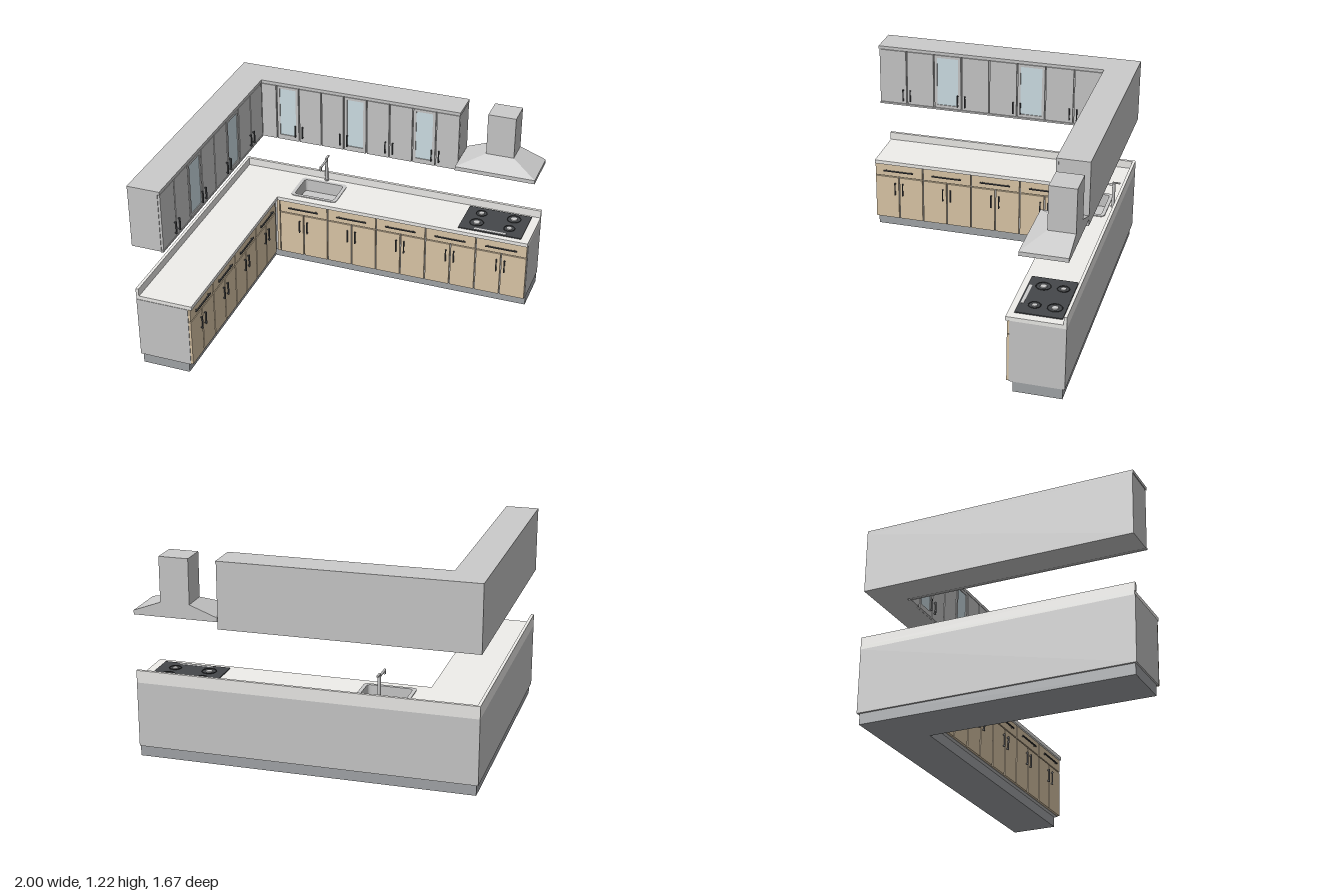
import * as THREE from 'three';

const mat = (color) => new THREE.MeshStandardMaterial({ color });
const grey = mat(0xcccccc), wood = mat(0xe0cbab), stone = mat(0xf0efec), plinthMat = mat(0xa5a8ab);
const dark = mat(0x45474a), glass = mat(0xd2e4ea), steel = mat(0xc4c6c8), black = mat(0x2c2e30);

function add(parent, name, geometry, material) {
  const m = new THREE.Mesh(geometry, material);
  m.name = name;
  parent.add(m);
  return m;
}

// Box given by its two opposite corners
function box(parent, name, material, x0, x1, y0, y1, z0, z1) {
  const m = add(parent, name, new THREE.BoxGeometry(x1 - x0, y1 - y0, z1 - z0), material);
  m.position.set((x0 + x1) / 2, (y0 + y1) / 2, (z0 + z1) / 2);
  return m;
}

// Upright slab from a plan outline (plan y is -z)
function slab(parent, name, material, shape, y0, y1) {
  const g = new THREE.ExtrudeGeometry(shape, { depth: y1 - y0, bevelEnabled: false, curveSegments: 6 });
  g.rotateX(-Math.PI / 2);
  g.translate(0, y0, 0);
  return add(parent, name, g, material);
}

// L-shaped plan: back run plus left run
function planL(xLeft, xInner, xRight, zBack, zInner, zFront) {
  return new THREE.Shape([
    [xLeft, zFront], [xInner, zFront], [xInner, zInner], [xRight, zInner], [xRight, zBack], [xLeft, zBack],
  ].map(([x, z]) => new THREE.Vector2(x, -z)));
}

function roundedPlan(Kind, x0, x1, z0, z1, r) {
  const s = new Kind(), a = -z1, b = -z0;
  s.moveTo(x0 + r, a).lineTo(x1 - r, a).quadraticCurveTo(x1, a, x1, a + r);
  s.lineTo(x1, b - r).quadraticCurveTo(x1, b, x1 - r, b);
  s.lineTo(x0 + r, b).quadraticCurveTo(x0, b, x0, b - r);
  s.lineTo(x0, a + r).quadraticCurveTo(x0, a, x0 + r, a);
  return s;
}

// Bar handle on two posts, standing on a door face at z
function handle(parent, x, y, z, length, upright, reach) {
  const g = new THREE.Group();
  g.name = 'handle';
  const h = length / 2, t = 0.0035;
  box(g, 'handleBar', dark, -h, h, -t, t, reach - 2 * t, reach);
  for (const s of [-1, 1]) box(g, 'handlePost', dark, s * h * 0.85 - t, s * h * 0.85 + t, -t, t, 0, reach - t);
  if (upright) g.rotation.z = Math.PI / 2;
  g.position.set(x, y, z);
  parent.add(g);
}

const GAP = 0.004;

// Base units: one drawer above a pair of doors
function baseFronts(parent, start, width, count, z) {
  for (let i = 0; i < count; i++) {
    const x0 = start + i * width, x1 = x0 + width, mid = (x0 + x1) / 2;
    box(parent, 'drawerFront', wood, x0 + GAP, x1 - GAP, 0.371, 0.453, z - 0.014, z);
    handle(parent, mid, 0.41, z, 0.2, false, 0.014);
    for (const s of [-1, 1]) {
      const a = s < 0 ? x0 : mid;
      box(parent, 'baseDoor', wood, a + GAP, a + width / 2 - GAP, 0.068, 0.364, z - 0.014, z);
      handle(parent, mid + s * 0.026, 0.283, z, 0.086, true, 0.014);
    }
  }
}

// Wall units: paired doors, some of them glazed
function wallFronts(parent, start, width, count, z, y0, glazed) {
  for (let i = 0; i < count; i++) {
    const x0 = start + i * width + GAP, x1 = start + (i + 1) * width - GAP, y1 = 1.197;
    if (glazed.includes(i)) {
      const s = new THREE.Shape([[x0, y0], [x1, y0], [x1, y1], [x0, y1]].map((p) => new THREE.Vector2(...p)));
      const gx0 = x0 + 0.018, gx1 = x1 - 0.018;
      s.holes.push(new THREE.Path([[gx0, 0.857], [gx0, 1.18], [gx1, 1.18], [gx1, 0.857]].map((p) => new THREE.Vector2(...p))));
      const g = new THREE.ExtrudeGeometry(s, { depth: 0.014, bevelEnabled: false });
      add(parent, 'glazedDoorFrame', g, grey).position.z = z - 0.014;
      box(parent, 'doorGlass', glass, gx0, gx1, 0.857, 1.18, z - 0.012, z - 0.005);
    } else box(parent, 'wallDoor', grey, x0, x1, y0, y1, z - 0.014, z);
    const side = i % 2 ? start + i * width + 0.024 : start + (i + 1) * width - 0.024;
    handle(parent, side, 0.897, z, 0.08, true, 0.014);
  }
}

function createModel() {
  const root = new THREE.Group();
  root.name = 'cornerKitchen';
  const group = (name) => {
    const g = new THREE.Group();
    g.name = name;
    root.add(g);
    return g;
  };

  // Base cabinets, plinth and worktop, with a cut-out for the sink
  const base = group('baseCabinets');
  const cut = () => roundedPlan(THREE.Path, -0.565, -0.29, -0.755, -0.555, 0.025);
  slab(base, 'plinth', plinthMat, planL(-0.988, -0.69, 0.998, -0.818, -0.535, 0.82), 0, 0.066);
  const carcass = planL(-1, -0.674, 1, -0.83, -0.511, 0.83);
  carcass.holes.push(cut());
  slab(base, 'baseCarcass', grey, carcass, 0.065, 0.456);
  const top = planL(-1, -0.65, 1, -0.83, -0.488, 0.827);
  top.holes.push(cut());
  slab(base, 'worktop', stone, top, 0.456, 0.48);
  box(base, 'backUpstand', stone, -1, 1, 0.48, 0.53, -0.83, -0.812);
  box(base, 'leftUpstand', stone, -1, -0.982, 0.48, 0.53, -0.812, 0.83);
  box(base, 'cornerFiller', wood, -0.66, -0.642, 0.066, 0.455, -0.511, -0.5);

  // Fronts of the back run, and of the left run turned to face +x
  const backBase = group('backBaseFronts');
  baseFronts(backBase, -0.64, 0.328, 5, -0.497);
  const leftBase = group('leftBaseFronts');
  baseFronts(leftBase, -0.83, 0.326, 4, -0.66);
  leftBase.rotation.y = Math.PI / 2;

  // Wall cabinets
  const wall = group('wallCabinets');
  slab(wall, 'wallCarcass', grey, planL(-1, -0.815, 0.497, -0.83, -0.65, 0.828), 0.825, 1.2);
  slab(wall, 'wallTopPanel', grey, planL(-1, -0.8, 0.5, -0.83, -0.635, 0.832), 1.2, 1.22);
  box(wall, 'lowerRail', grey, -0.815, -0.8, 0.822, 0.833, -0.635, 0.83);
  box(wall, 'wallFiller', grey, -0.8, -0.7 - GAP, 0.825, 1.197, -0.65, -0.635);
  const backWall = group('backWallFronts');
  wallFronts(backWall, -0.7, 0.15, 8, -0.635, 0.825, [0, 3, 6]);
  const leftWall = group('leftWallFronts');
  wallFronts(leftWall, -0.83, 0.183, 8, -0.8, 0.837, [2, 5]);
  leftWall.rotation.y = Math.PI / 2;

  // Sink: rim, basin walls, floor and drain
  const sink = group('sink');
  const rim = roundedPlan(THREE.Shape, -0.582, -0.273, -0.772, -0.54, 0.03);
  rim.holes.push(roundedPlan(THREE.Path, -0.56, -0.295, -0.75, -0.56, 0.022));
  slab(sink, 'sinkRim', steel, rim, 0.48, 0.485);
  const walls = roundedPlan(THREE.Shape, -0.564, -0.291, -0.754, -0.556, 0.025);
  walls.holes.push(roundedPlan(THREE.Path, -0.56, -0.295, -0.75, -0.56, 0.022));
  slab(sink, 'basinWalls', steel, walls, 0.4, 0.48);
  slab(sink, 'basinFloor', steel, roundedPlan(THREE.Shape, -0.564, -0.291, -0.754, -0.556, 0.025), 0.395, 0.402);
  add(sink, 'drain', new THREE.CylinderGeometry(0.018, 0.018, 0.004, 20), dark).position.set(-0.428, 0.403, -0.655);

  // Tap: post, spout, nozzle and lever
  const tap = group('tap');
  const rod = (name, r, length, x, y, z, flat) => {
    const m = add(tap, name, new THREE.CylinderGeometry(r, r, length, 16), steel);
    m.position.set(x, y, z);
    if (flat) m.rotation.x = Math.PI / 2;
  };
  rod('tapFoot', 0.014, 0.008, -0.428, 0.484, -0.797);
  rod('tapPost', 0.01, 0.16, -0.428, 0.56, -0.797);
  rod('tapSpout', 0.007, 0.11, -0.428, 0.63, -0.74, true);
  rod('tapNozzle', 0.007, 0.028, -0.428, 0.622, -0.688);
  box(tap, 'tapLever', steel, -0.434, -0.422, 0.64, 0.647, -0.835, -0.788);

  // Hob with four burners and a control strip
  const hob = group('hob');
  box(hob, 'hobPlate', dark, 0.545, 0.948, 0.48, 0.486, -0.795, -0.525);
  box(hob, 'controlStrip', steel, 0.645, 0.848, 0.486, 0.4875, -0.552, -0.535);
  for (const [x, z, r] of [[0.64, -0.73, 0.034], [0.85, -0.73, 0.042], [0.64, -0.615, 0.042], [0.85, -0.615, 0.034]]) {
    const ring = add(hob, 'burnerRing', new THREE.TorusGeometry(r, 0.003, 6, 28), black);
    ring.rotation.x = Math.PI / 2;
    ring.position.set(x, 0.487, z);
    add(hob, 'burnerCap', new THREE.CylinderGeometry(r * 0.45, r * 0.5, 0.004, 20), steel).position.set(x, 0.488, z);
  }

  // Extractor hood: lip, tapered canopy with a flat back, chimney
  const hood = group('extractorHood');
  box(hood, 'hoodLip', grey, 0.5, 1, 0.867, 0.892, -0.83, -0.555);
  box(hood, 'hoodFilter', dark, 0.515, 0.985, 0.865, 0.868, -0.815, -0.57);
  const canopy = new THREE.BoxGeometry(1, 1, 1);
  const p = canopy.attributes.position;
  for (let i = 0; i < p.count; i++) {
    const up = p.getY(i) > 0, right = p.getX(i) > 0, front = p.getZ(i) > 0;
    const x = up ? (right ? 0.836 : 0.662) : (right ? 1 : 0.5);
    p.setXYZ(i, x, up ? 0.953 : 0.892, front ? (up ? -0.672 : -0.555) : -0.83);
  }
  const flat = canopy.toNonIndexed();
  flat.computeVertexNormals();
  add(hood, 'hoodCanopy', flat, grey);
  box(hood, 'hoodChimney', grey, 0.662, 0.836, 0.953, 1.22, -0.83, -0.672);

  return root;
}

export { createModel };
